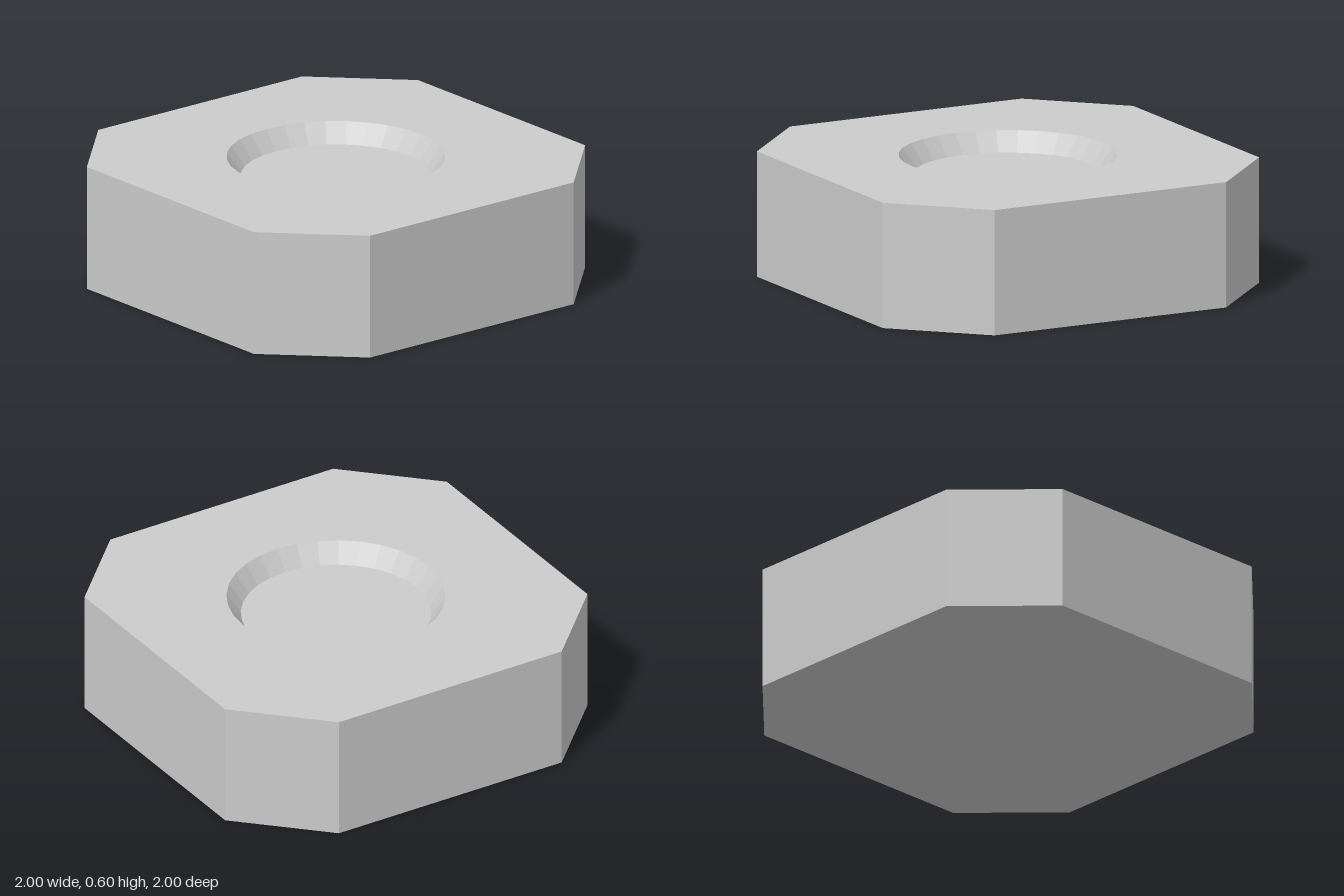
import * as THREE from 'three';

const HEIGHT = 0.6, HALF = 1, CUT = 0.615;     // block size and where the corner cuts begin
const RIM = 0.512, FLOOR = 0.445, DEPTH = 0.093; // round recess
const SIDES = 32;

export function createModel() {
  const group = new THREE.Group();
  const material = new THREE.MeshStandardMaterial({ color: 0xcccccc, flatShading: true });
  const add = (name, geometry) => {
    const mesh = new THREE.Mesh(geometry, material);
    mesh.name = name;
    group.add(mesh);
    return mesh;
  };

  // Square outline with cut corners, counter-clockwise
  const outline = [];
  for (let i = 0; i < 4; i++) {
    for (const y of [-CUT, CUT]) {
      outline.push(new THREE.Vector2(HALF, y).rotateAround(new THREE.Vector2(), i * Math.PI / 2));
    }
  }

  // Top face with the opening of the recess
  const topShape = new THREE.Shape(outline);
  const opening = [];
  for (let i = 0; i < SIDES; i++) {
    const a = -i / SIDES * Math.PI * 2;
    opening.push(new THREE.Vector2(RIM * Math.cos(a), RIM * Math.sin(a)));
  }
  topShape.holes.push(new THREE.Path(opening));
  add('topFace', new THREE.ShapeGeometry(topShape).rotateX(-Math.PI / 2).translate(0, HEIGHT, 0));

  // Underside
  add('underside', new THREE.ShapeGeometry(new THREE.Shape(outline)).rotateX(Math.PI / 2));

  // Eight upright walls
  const walls = [];
  outline.forEach((p, i) => {
    const q = outline[(i + 1) % outline.length];
    const a = [p.x, 0, -p.y], b = [q.x, 0, -q.y];
    const c = [q.x, HEIGHT, -q.y], d = [p.x, HEIGHT, -p.y];
    walls.push(...a, ...b, ...c, ...a, ...c, ...d);
  });
  const wallGeometry = new THREE.BufferGeometry();
  wallGeometry.setAttribute('position', new THREE.Float32BufferAttribute(walls, 3));
  wallGeometry.computeVertexNormals();
  add('sideWalls', wallGeometry);

  // Sloped recess wall, seen from inside, and its flat floor
  const slope = [new THREE.Vector2(RIM, HEIGHT), new THREE.Vector2(FLOOR, HEIGHT - DEPTH)];
  add('recessSlope', new THREE.LatheGeometry(slope, SIDES));
  add('recessFloor', new THREE.CircleGeometry(FLOOR, SIDES).rotateX(-Math.PI / 2).translate(0, HEIGHT - DEPTH, 0));

  return group;
}
